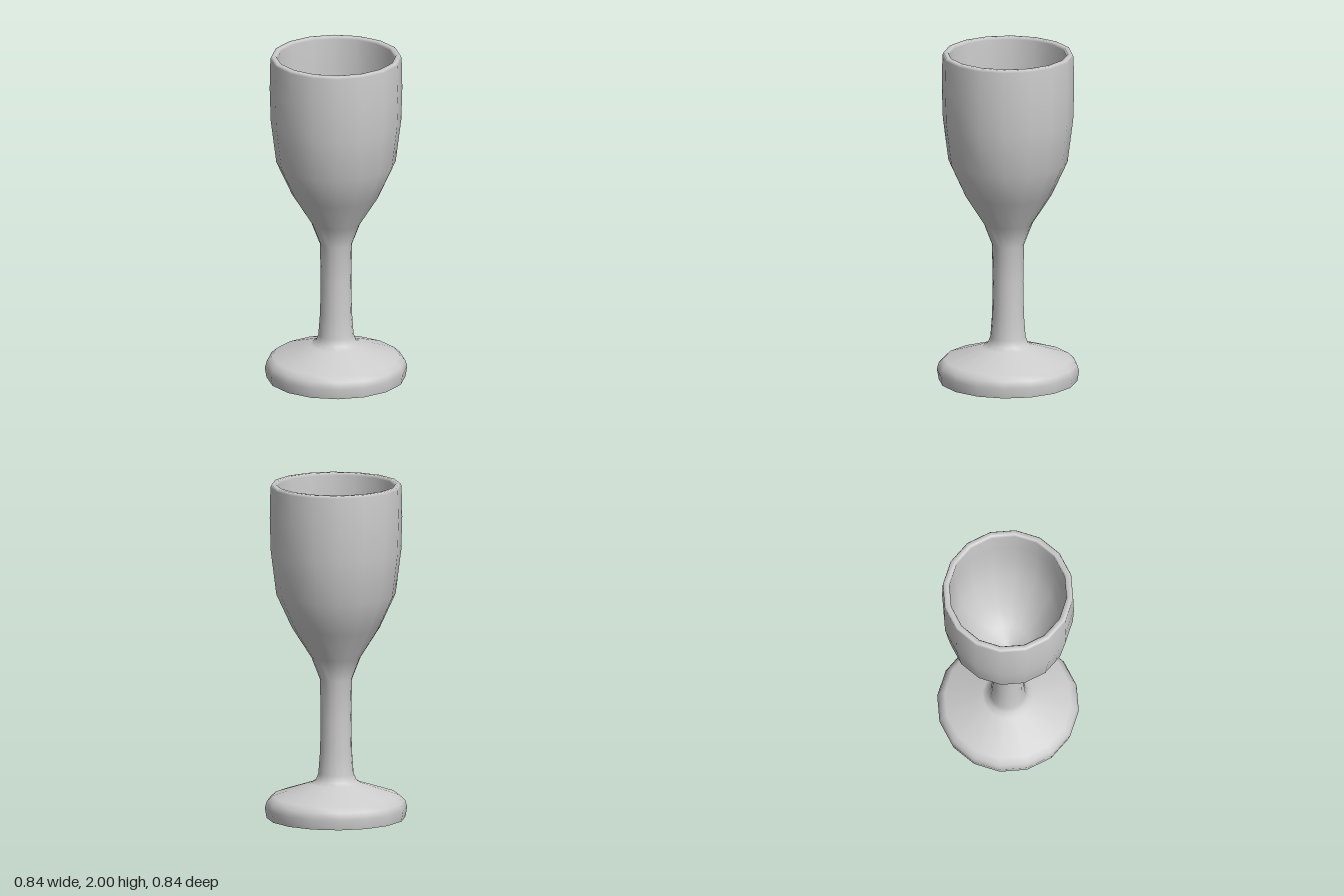
import * as THREE from 'three';

const SIDES = 16;

export function createModel() {
  const model = new THREE.Group();
  model.name = 'goblet';
  const grey = new THREE.MeshStandardMaterial({ color: 0xcccccc });
  grey.name = 'light grey';

  const add = (name, geometry) => {
    const mesh = new THREE.Mesh(geometry, grey);
    mesh.name = name;
    model.add(mesh);
    return mesh;
  };

  // One continuous wall, as [radius, height], so the shading flows from foot to bowl
  const profile = [
    // foot
    [0.41, 0], [0.42, 0.06], [0.408, 0.1], [0.375, 0.13], [0.15, 0.205],
    // stem
    [0.12, 0.225], [0.104, 0.265], [0.094, 0.4], [0.09, 0.6], [0.095, 0.83],
    // outside of the bowl
    [0.145, 0.96], [0.26, 1.14], [0.352, 1.34], [0.385, 1.6], [0.391, 1.8],
    // rounded rim
    [0.387, 1.985], [0.38, 2], [0.355, 2], [0.347, 1.985],
    // inside of the bowl
    [0.347, 1.8], [0.342, 1.61], [0.312, 1.37], [0.225, 1.18], [0.13, 1.05], [0, 1.01],
  ].map(([r, y]) => new THREE.Vector2(r, y));
  add('footStemAndBowl', new THREE.LatheGeometry(profile, SIDES));

  // Flat underside, kept apart for a sharp edge
  add('footUnderside', new THREE.CircleGeometry(0.41, SIDES).rotateX(Math.PI / 2));

  return model;
}
